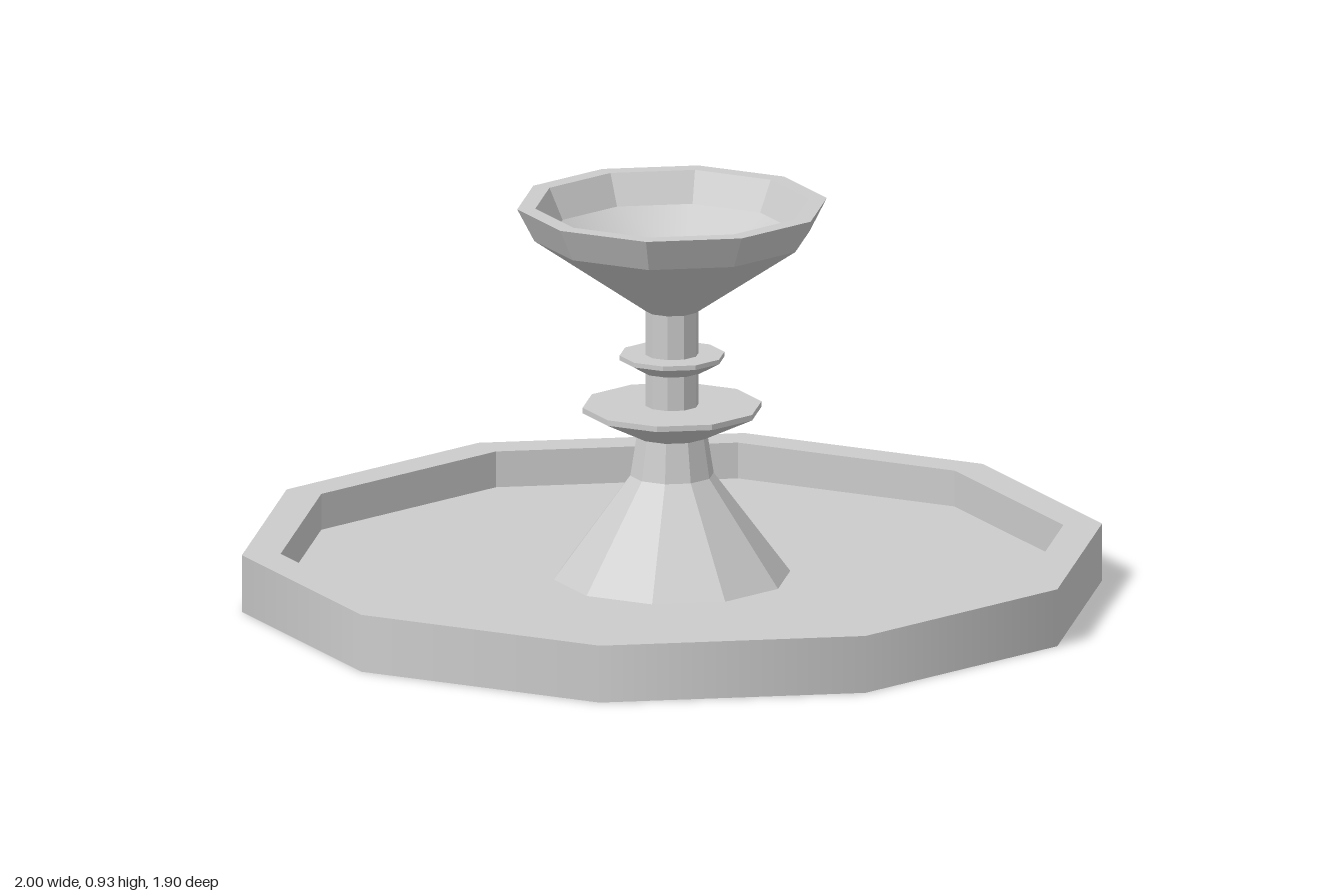
import * as THREE from 'three';

const SIDES = 10;
const flat = new THREE.MeshStandardMaterial({ color: 0xcccccc, flatShading: true });
const smooth = new THREE.MeshStandardMaterial({ color: 0xcccccc });

// Ten-sided turned part from [radius, height] pairs, with corners on the x axis
function turned(name, profile, material = flat) {
  const points = profile.map(([r, y]) => new THREE.Vector2(r, y));
  const mesh = new THREE.Mesh(new THREE.LatheGeometry(points, SIDES, Math.PI / SIDES), material);
  mesh.name = name;
  return mesh;
}

export function createModel() {
  const model = new THREE.Group();
  model.name = 'fountain';

  // Wide lower pool: soft outer wall, crisp rim, inner wall, floor and underside
  const pool = new THREE.Group();
  pool.name = 'pool';
  pool.add(
    turned('poolOuterWall', [[1, 0], [1, 0.135]], smooth),
    turned('poolRimAndFloor', [[1, 0.135], [0.91, 0.135], [0.91, 0.05], [0, 0.05]]),
    turned('poolUnderside', [[0, 0], [1, 0]]),
  );

  // Flared foot and central column
  const pedestal = turned('pedestal', [[0.275, 0.05], [0.097, 0.29], [0.082, 0.385]]);
  const column = turned('column', [[0.062, 0.385], [0.062, 0.685]]);

  // Two collars around the column
  const lowerCollar = turned('lowerCollar',
    [[0.06, 0.383], [0.085, 0.383], [0.208, 0.442], [0.208, 0.455], [0.06, 0.455]]);
  const upperCollar = turned('upperCollar',
    [[0.06, 0.537], [0.072, 0.537], [0.122, 0.565], [0.122, 0.576], [0.06, 0.576]]);

  // Upper bowl: faceted shell and softly shaded basin
  const bowl = new THREE.Group();
  bowl.name = 'bowl';
  bowl.add(
    turned('bowlShell', [[0.062, 0.68], [0.32, 0.855], [0.36, 0.932], [0.318, 0.932], [0.284, 0.86]]),
    turned('bowlBasin', [[0.284, 0.86], [0.17, 0.775], [0.06, 0.713], [0.02, 0.705], [0, 0.705]], smooth),
  );

  model.add(pool, pedestal, column, lowerCollar, upperCollar, bowl);
  return model;
}
